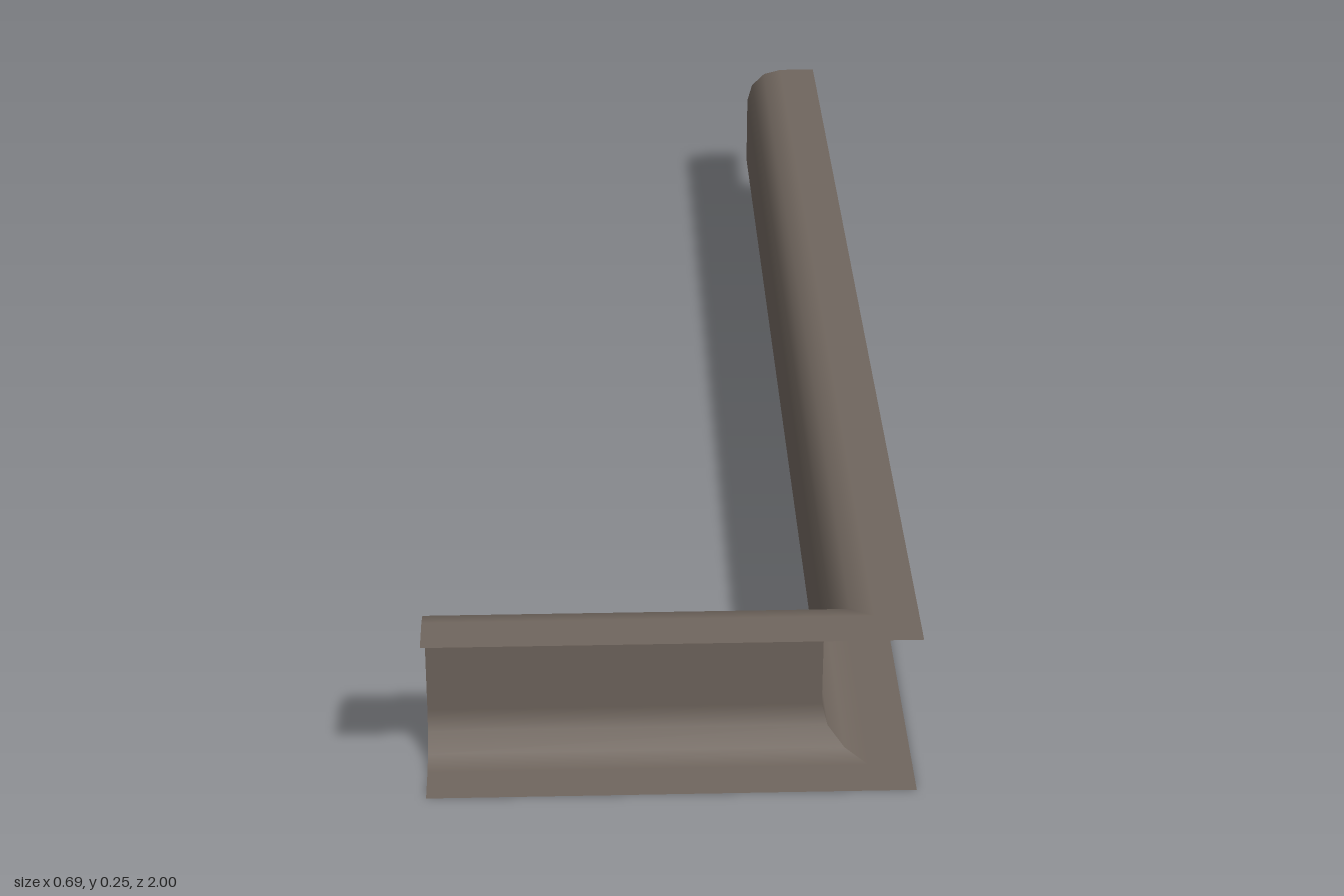
import * as THREE from 'three';

const HEIGHT = 0.25, DEPTH = 0.125, RADIUS = 0.0625, ARC_STEPS = 3;
const HALF_WIDTH = 0.343, HALF_LENGTH = 1;

// Open C section as [outward distance from web, height, normal outward, normal up], bottom lip to top lip
function channelProfile() {
  const lower = [[DEPTH, 0, 0, 1]];
  for (let i = 0; i <= ARC_STEPS; i++) {
    const a = (i / ARC_STEPS) * Math.PI / 2;
    const s = Math.sin(a), c = Math.cos(a);
    lower.push([RADIUS * (1 - s), RADIUS * (1 - c), s, c]);
  }
  const upper = lower.map(([d, y, n, m]) => [d, HEIGHT - y, n, -m]).reverse();
  return [...lower, ...upper];
}

// Sheet spanning the section between two end rules, each giving [x, z] for an outward distance
function armGeometry(profile, start, end, outX, outZ) {
  const positions = [], normals = [], index = [];
  profile.forEach(([d, y, n, m], i) => {
    for (const place of [start, end]) {
      const [x, z] = place(d);
      positions.push(x, y, z);
      normals.push(n * outX, m, n * outZ);
    }
    if (i > 0) {
      const a = 2 * (i - 1);
      index.push(a, a + 1, a + 3, a, a + 3, a + 2);
    }
  });
  const geometry = new THREE.BufferGeometry();
  geometry.setAttribute('position', new THREE.Float32BufferAttribute(positions, 3));
  geometry.setAttribute('normal', new THREE.Float32BufferAttribute(normals, 3));
  geometry.setIndex(index);
  return geometry;
}

export function createModel() {
  const group = new THREE.Group();
  group.name = 'cornerChannel';

  const metal = new THREE.MeshStandardMaterial({ color: 0x70665e, side: THREE.DoubleSide });
  metal.name = 'brown grey metal';

  const profile = channelProfile();
  const webX = HALF_WIDTH - DEPTH, webZ = HALF_LENGTH - DEPTH;
  const mitre = d => [webX + d, webZ + d];

  // Short arm along x, open to the front
  const shortArm = new THREE.Mesh(
    armGeometry(profile, d => [-HALF_WIDTH, webZ + d], mitre, 0, 1), metal);
  shortArm.name = 'shortArm';

  // Long arm along z, open to the side
  const longArm = new THREE.Mesh(
    armGeometry(profile, mitre, d => [webX + d, -HALF_LENGTH], 1, 0), metal);
  longArm.name = 'longArm';

  group.add(shortArm, longArm);
  return group;
}
